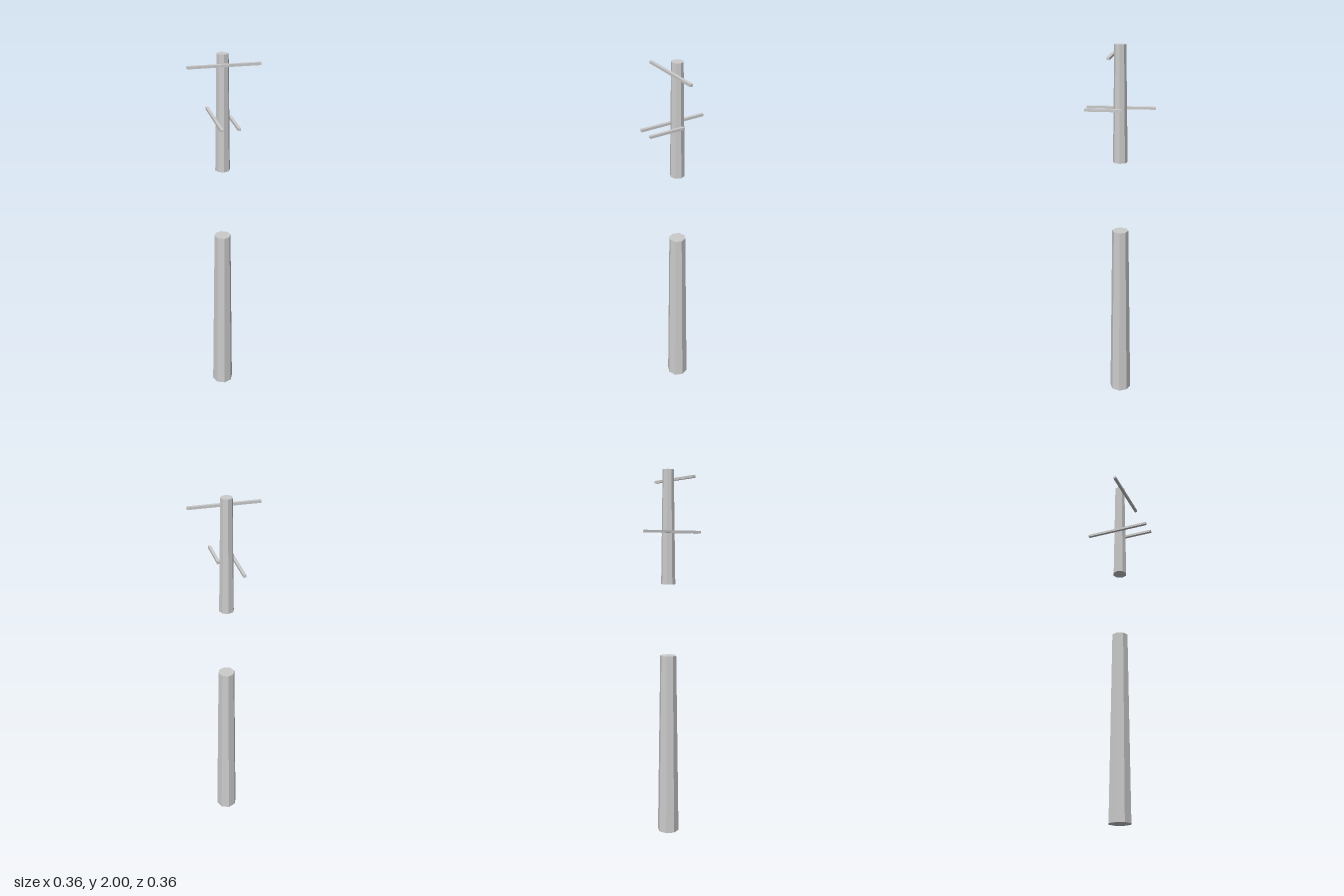
import * as THREE from 'three';

const material = new THREE.MeshStandardMaterial({ color: 0xcccccc, flatShading: true });

// Radius of the tapering pole at a given height
const radiusAt = (y) => 0.06 - 0.015 * y;

// Eight-sided capped stretch of the pole between two heights
function poleSection(name, y0, y1) {
  const geometry = new THREE.CylinderGeometry(radiusAt(y1), radiusAt(y0), y1 - y0, 8);
  const mesh = new THREE.Mesh(geometry, material);
  mesh.name = name;
  mesh.position.y = (y0 + y1) / 2;
  return mesh;
}

// Thin square bar given by its size and centre
function bar(name, size, centre) {
  const mesh = new THREE.Mesh(new THREE.BoxGeometry(...size), material);
  mesh.name = name;
  mesh.position.set(...centre);
  return mesh;
}

export function createModel() {
  const model = new THREE.Group();
  model.name = 'utilityPole';

  // Pole in two pieces with an open gap between them
  model.add(poleSection('lowerPole', 0, 1.01));
  model.add(poleSection('upperPole', 1.4, 2));

  // Crossarm across the front, near the top
  model.add(bar('topCrossarm', [0.36, 0.013, 0.015], [0, 1.951, 0.038]));

  // Lower arms along the sides: a full one and a broken one
  model.add(bar('rightCrossarm', [0.015, 0.013, 0.36], [-0.043, 1.678, 0]));
  const broken = bar('brokenLeftCrossarm', [0.015, 0.013, 0.19], [0.042, 1.678, 0.085]);
  model.add(broken);

  // Slant the broken end slightly
  const p = broken.geometry.attributes.position;
  for (let i = 0; i < p.count; i++) {
    if (p.getZ(i) < 0) p.setZ(i, p.getZ(i) - 0.25 * p.getX(i));
  }
  broken.geometry.computeVertexNormals();

  return model;
}
